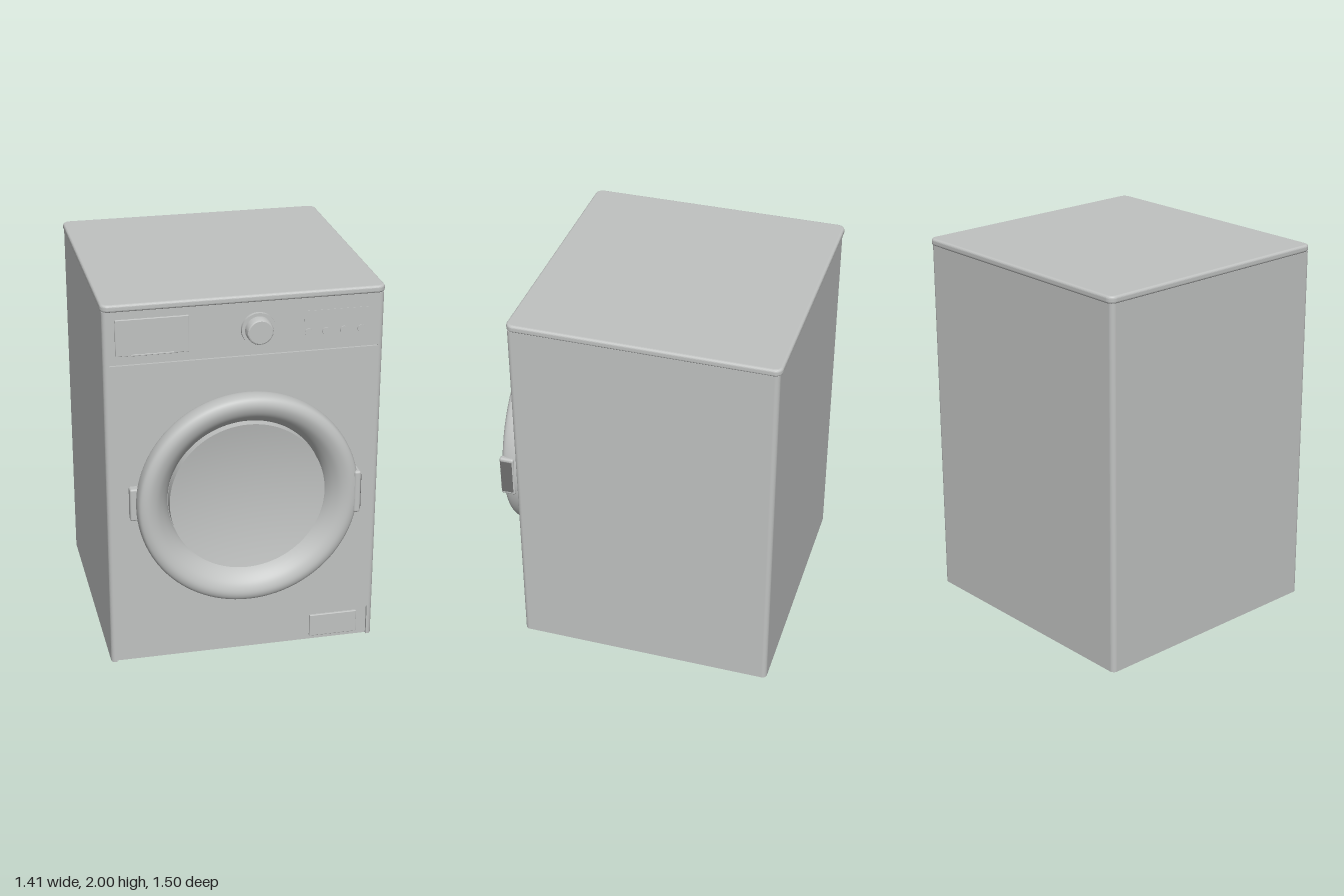
import * as THREE from 'three';
import { toCreasedNormals } from 'three/addons/utils/BufferGeometryUtils.js';
import { RoundedBoxGeometry } from 'three/addons/geometries/RoundedBoxGeometry.js';

export function createModel() {
  const group = new THREE.Group();
  const grey = new THREE.MeshStandardMaterial({ color: 0xc0c2c1 });
  grey.name = 'appliance grey';
  const dark = new THREE.MeshStandardMaterial({ color: 0x707070 });
  dark.name = 'dark grey';
  const FRONT = 0.61, BACK = -0.74;

  function add(name, geometry, x = 0, y = 0, z = 0, parent = group, material = grey) {
    const mesh = new THREE.Mesh(geometry, material);
    mesh.name = name;
    mesh.position.set(x, y, z);
    parent.add(mesh);
    return mesh;
  }

  // Rounded floor plan; notch sets the front back between the side edges
  function plan(w, front, back, r, notch = 0) {
    const s = new THREE.Shape();
    s.moveTo(-w + r, -front);
    if (notch) {
      s.lineTo(-0.67, -front);
      s.lineTo(-0.67, -front + notch);
      s.lineTo(0.67, -front + notch);
      s.lineTo(0.67, -front);
    }
    s.lineTo(w - r, -front);
    s.absarc(w - r, -front + r, r, -Math.PI / 2, 0);
    s.lineTo(w, -back - r);
    s.absarc(w - r, -back - r, r, 0, Math.PI / 2);
    s.lineTo(-w + r, -back);
    s.absarc(-w + r, -back - r, r, Math.PI / 2, Math.PI);
    s.lineTo(-w, -front + r);
    s.absarc(-w + r, -front + r, r, Math.PI, Math.PI * 1.5);
    return s;
  }

  function slab(shape, y0, y1, bevel = 0) {
    const g = new THREE.ExtrudeGeometry(shape, {
      depth: y1 - y0 - 2 * bevel, curveSegments: 12, bevelEnabled: bevel > 0,
      bevelSize: bevel, bevelThickness: bevel, bevelOffset: -bevel, bevelSegments: 6
    });
    return g.rotateX(-Math.PI / 2).translate(0, y0 + bevel, 0);
  }

  // Cylinder or lathe turned to face the front
  const disc = (r0, r1, d, n = 40) =>
    new THREE.CylinderGeometry(r1, r0, d, n).rotateX(Math.PI / 2);
  const turned = (pts, n = 96) =>
    new THREE.LatheGeometry(pts, n).rotateX(Math.PI / 2);

  // Cabinet in layers: kick recess, main body, groove, control panel, lid
  [
    ['kickPlate', 0.034, 0.205, 0.015],
    ['cabinet', 0.205, 1.687, 0],
    ['panelGroove', 1.687, 1.693, 0.012],
    ['controlPanel', 1.693, 1.964, 0]
  ].forEach(([name, y0, y1, notch]) =>
    add(name, slab(plan(0.7, FRONT, BACK, 0.025, notch), y0, y1)));
  add('lid', slab(plan(0.705, 0.615, -0.75, 0.04), 1.962, 2, 0.013));

  // Dark underside inside the cabinet rim
  add('underside', slab(plan(0.692, FRONT - 0.022, BACK + 0.008, 0.02), 0.031, 0.036),
    0, 0, 0, group, dark);

  // Filter flap on the kick plate
  add('filterFlap', new RoundedBoxGeometry(0.255, 0.125, 0.02, 2, 0.004), 0.487, 0.118, 0.597);

  // Feet
  for (const x of [-0.585, 0.585]) {
    for (const z of [0.49, -0.63]) {
      const foot = new THREE.Group();
      foot.name = 'foot';
      foot.position.set(x, 0, z);
      group.add(foot);
      add('footPad', new THREE.CylinderGeometry(0.037, 0.041, 0.016, 24), 0, 0.008, 0, foot, dark);
      add('footStem', new THREE.CylinderGeometry(0.022, 0.022, 0.03, 20), 0, 0.025, 0, foot, dark);
    }
  }

  // Detergent drawer with a finger grip along its lower edge
  add('detergentDrawer', new RoundedBoxGeometry(0.36, 0.186, 0.024, 2, 0.003), -0.46, 1.832, 0.608);
  add('drawerGrip', new RoundedBoxGeometry(0.21, 0.008, 0.01, 2, 0.002), -0.46, 1.742, 0.618);

  // Program dial
  const dial = new THREE.Group();
  dial.name = 'programDial';
  dial.position.set(0.062, 1.826, 0);
  group.add(dial);
  add('dialBase', disc(0.086, 0.084, 0.02), 0, 0, 0.614, dial);
  add('dialKnob', toCreasedNormals(turned([
    [0.068, 0.615], [0.066, 0.66], [0.063, 0.667], [0.057, 0.67], [0, 0.67]
  ].map(p => new THREE.Vector2(...p)), 48), 0.4), 0, 0, 0, dial);
  add('dialPointer', new THREE.BoxGeometry(0.007, 0.04, 0.004), 0, 0.036, 0.67, dial);

  // Display and buttons
  add('display', new THREE.BoxGeometry(0.33, 0.055, 0.004), 0.46, 1.87, 0.61);
  for (let i = 0; i < 4; i++) {
    add('button', disc(0.02, 0.019, 0.012, 24), 0.316 + i * 0.0893, 1.786, 0.609);
  }

  // Door: collar, rounded ring with a dished inner wall, and raised bowl glass
  const door = new THREE.Group();
  door.name = 'door';
  door.position.y = 0.957;
  group.add(door);
  add('doorCollar', new THREE.CylinderGeometry(0.385, 0.385, 0.04, 72, 1, true)
    .rotateX(Math.PI / 2), 0, 0, 0.62, door);
  const profile = [new THREE.Vector2(0.38, 0.63)].concat(new THREE.SplineCurve([
    [0.53, 0.63], [0.553, 0.64], [0.564, 0.665], [0.565, 0.705], [0.556, 0.735],
    [0.53, 0.749], [0.5, 0.748], [0.465, 0.732], [0.432, 0.7], [0.41, 0.665], [0.4, 0.635]
  ].map(p => new THREE.Vector2(...p))).getPoints(40));
  add('doorRing', turned(profile), 0, 0, 0, door);
  const bowl = [];
  for (let i = 0; i <= 16; i++) {
    const r = 0.398 * (1 - i / 16);
    bowl.push(new THREE.Vector2(r, 0.645 + 0.04 * (r / 0.398) ** 2));
  }
  add('doorGlass', turned(bowl), 0, 0, 0, door);
  add('glassRim', new THREE.CylinderGeometry(0.398, 0.398, 0.05, 96, 1, true)
    .rotateX(Math.PI / 2), 0, 0, 0.66, door);

  // Hinge on one side, framed handle with a dark grip on the other
  add('doorHinge', new RoundedBoxGeometry(0.07, 0.175, 0.05, 3, 0.01), -0.557, 0, 0.635, door);
  add('doorHandle', new RoundedBoxGeometry(0.035, 0.23, 0.078, 3, 0.012), 0.552, 0, 0.712, door);
  add('handleGrip', new RoundedBoxGeometry(0.008, 0.196, 0.064, 2, 0.003), 0.567, 0, 0.714, door, dark);

  return group;
}
